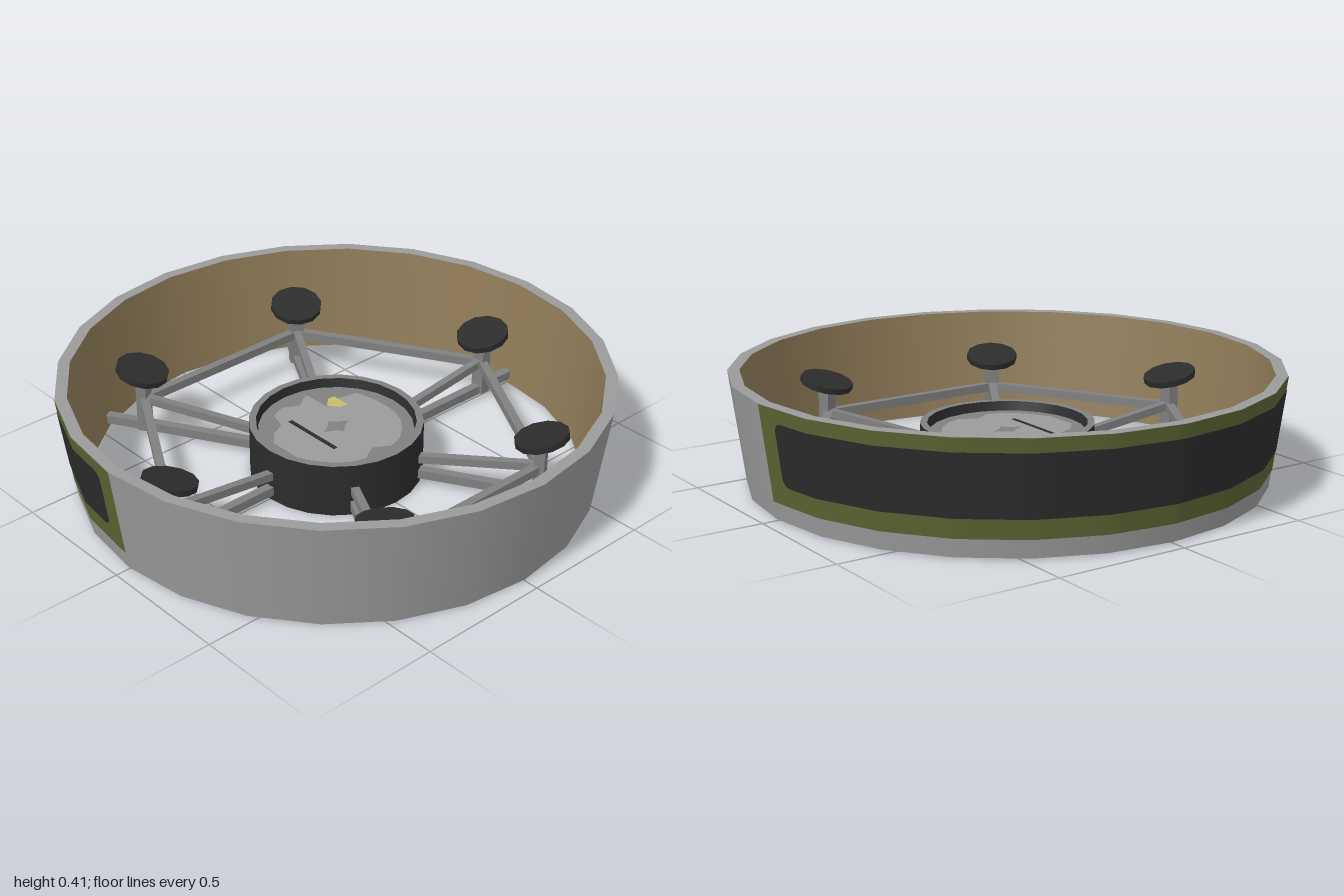
import * as THREE from 'three';

const SIDES = 24, TOP = 0.415, LOW = 0.005;
const mat = (name, color, side = THREE.FrontSide) => {
  const m = new THREE.MeshStandardMaterial({ color, side });
  m.name = name;
  return m;
};

export function createModel() {
  const shell = mat('light grey', 0x9b9b9b);
  const lining = mat('tan lining', 0x8f7b58);
  const green = mat('olive green', 0x5b6533);
  const black = mat('charcoal', 0x2c2c2c);
  const steel = mat('mid grey', 0x808080);
  const yellow = mat('pale yellow', 0xc4bd6e);

  const root = new THREE.Group();
  const add = (parent, name, geometry, material) => {
    const mesh = new THREE.Mesh(geometry, material);
    mesh.name = name;
    parent.add(mesh);
    return mesh;
  };
  const group = (parent, name) => {
    const g = new THREE.Group();
    g.name = name;
    parent.add(g);
    return g;
  };
  // Surface of revolution between two profile points [radius, y]
  const band = (a, b) => new THREE.LatheGeometry(
    [new THREE.Vector2(...a), new THREE.Vector2(...b)], SIDES);

  // Flared outer ring
  const ring = group(root, 'ring');
  add(ring, 'outerWall', band([0.945, LOW], [1, TOP]), shell);
  add(ring, 'topRim', band([1, TOP], [0.957, TOP]), shell);
  add(ring, 'innerWall', band([0.957, TOP], [0.905, LOW]), lining);
  add(ring, 'bottomRim', band([0.905, LOW], [0.945, LOW]), shell);

  // Thin panels that follow the facets of the back half of the ring
  const step = (Math.PI * 2) / SIDES;
  const wallPoint = (a, y, offset) => {
    const facet = Math.cos(step / 2) / Math.cos((a % step) - step / 2);
    const r = (0.945 + 0.055 * (y - LOW) / (TOP - LOW)) * facet + offset;
    return [r * Math.cos(a), y, -r * Math.sin(a)];
  };
  const curvedPanel = (columns, offset) => {
    const pos = [], index = [];
    columns.forEach(([deg, lo, hi], i) => {
      const a = THREE.MathUtils.degToRad(deg);
      pos.push(...wallPoint(a, lo, offset), ...wallPoint(a, hi, offset));
      if (i) {
        const k = 2 * i - 2;
        index.push(k, k + 2, k + 1, k + 1, k + 2, k + 3);
      }
    });
    const g = new THREE.BufferGeometry();
    g.setAttribute('position', new THREE.Float32BufferAttribute(pos, 3));
    g.setIndex(index);
    g.computeVertexNormals();
    return g;
  };
  const greenColumns = [];
  for (let d = 0; d <= 180; d += 3) greenColumns.push([d, 0.07, TOP]);
  add(ring, 'greenPanel', curvedPanel(greenColumns, 0.002), green);

  const corner = [[4.6, 0.03], [4.8, 0.018], [5.3, 0.007], [6.4, 0]];
  const darkColumns = corner.map(([d, c]) => [d, 0.14 + c, 0.365 - c]);
  for (let d = 9; d <= 171; d += 3) darkColumns.push([d, 0.14, 0.365]);
  corner.slice().reverse().forEach(([d, c]) => darkColumns.push([180 - d, 0.14 + c, 0.365 - c]));
  add(ring, 'darkPanel', curvedPanel(darkColumns, 0.004), black);

  // Central hub: dark drum, recessed on both ends
  const hub = group(root, 'hub');
  const hubH = 0.205, mid = hubH / 2;
  add(hub, 'drumWall', band([0.318, 0], [0.318, hubH]), black);

  const blob = [0.235, 0.24, 0.25, 0.2, 0.14, 0.25, 0.2, 0.24, 0.24, 0.2, 0.23, 0.25,
    0.24, 0.25, 0.24, 0.24, 0.24, 0.235, 0.19, 0.235, 0.24, 0.24, 0.24, 0.24];
  const star = [0.06, 0.03, 0.045, 0.03, 0.06, 0.03, 0.045, 0.03];
  const polar = (radii) => radii.map((r, i) => {
    const a = (i / radii.length) * Math.PI * 2;
    return [r * Math.cos(a), r * Math.sin(a)];
  });
  const decal = (points) => new THREE.ShapeGeometry(
    new THREE.Shape(points.map((p) => new THREE.Vector2(...p)))).rotateX(-Math.PI / 2);

  const hubEnd = (name, flip) => {
    const end = group(hub, name);
    end.position.y = mid;
    if (flip) end.rotation.x = Math.PI;
    const floor = mid - 0.035;
    add(end, 'hubRim', band([0.318, mid], [0.292, mid]), steel);
    add(end, 'hubLip', band([0.292, mid], [0.285, floor]), black);
    add(end, 'hubFloor', band([0.285, floor], [0, floor]), steel);
    const marks = [
      ['lightPatch', polar(blob), shell, 0.002],
      ['centreMark', polar(star), steel, 0.004],
      ['darkBar', [[-0.11, -0.11], [-0.092, -0.11], [-0.092, 0.14], [-0.11, 0.14]], black, 0.004],
      ['yellowPatch', [[0.07, 0.13], [0.1, 0.09], [0.135, 0.085], [0.135, 0.16], [0.11, 0.165]], yellow, 0.004],
    ];
    for (const [part, points, material, lift] of marks) {
      add(end, part, decal(points), material).position.y = floor + lift;
    }
  };
  hubEnd('hubTop', false);
  hubEnd('hubBottom', true);

  // Six-armed frame with posts and tilted round pads
  const frame = group(root, 'frame');
  const at = (r, a, y) => new THREE.Vector3(r * Math.cos(a), y, r * Math.sin(a));
  const beam = (name, from, to, w, h) => {
    const m = add(frame, name, new THREE.BoxGeometry(w, h, from.distanceTo(to)), steel);
    m.position.copy(from).add(to).multiplyScalar(0.5);
    m.lookAt(to);
  };
  const R = 0.757;
  for (let i = 0; i < 6; i++) {
    const a = (i * Math.PI) / 3, next = a + Math.PI / 3;
    beam('radialBeam', at(0.31, a, 0.04), at(0.912, a, 0.04), 0.034, 0.034);
    beam('slopedBrace', at(0.31, a, 0.1), at(R, a, 0.155), 0.03, 0.03);
    beam('hexagonBeam', at(R, a, 0.15), at(R, next, 0.15), 0.032, 0.032);

    const support = group(root, 'support');
    support.position.copy(at(R, a, 0));
    support.rotation.y = -a;
    add(support, 'post', new THREE.BoxGeometry(0.04, 0.24, 0.055), steel).position.y = 0.145;
    const pad = add(support, 'pad', new THREE.CylinderGeometry(0.1, 0.1, 0.022, 12), black);
    pad.position.y = 0.272;
    pad.rotation.z = 0.25;
  }
  return root;
}
